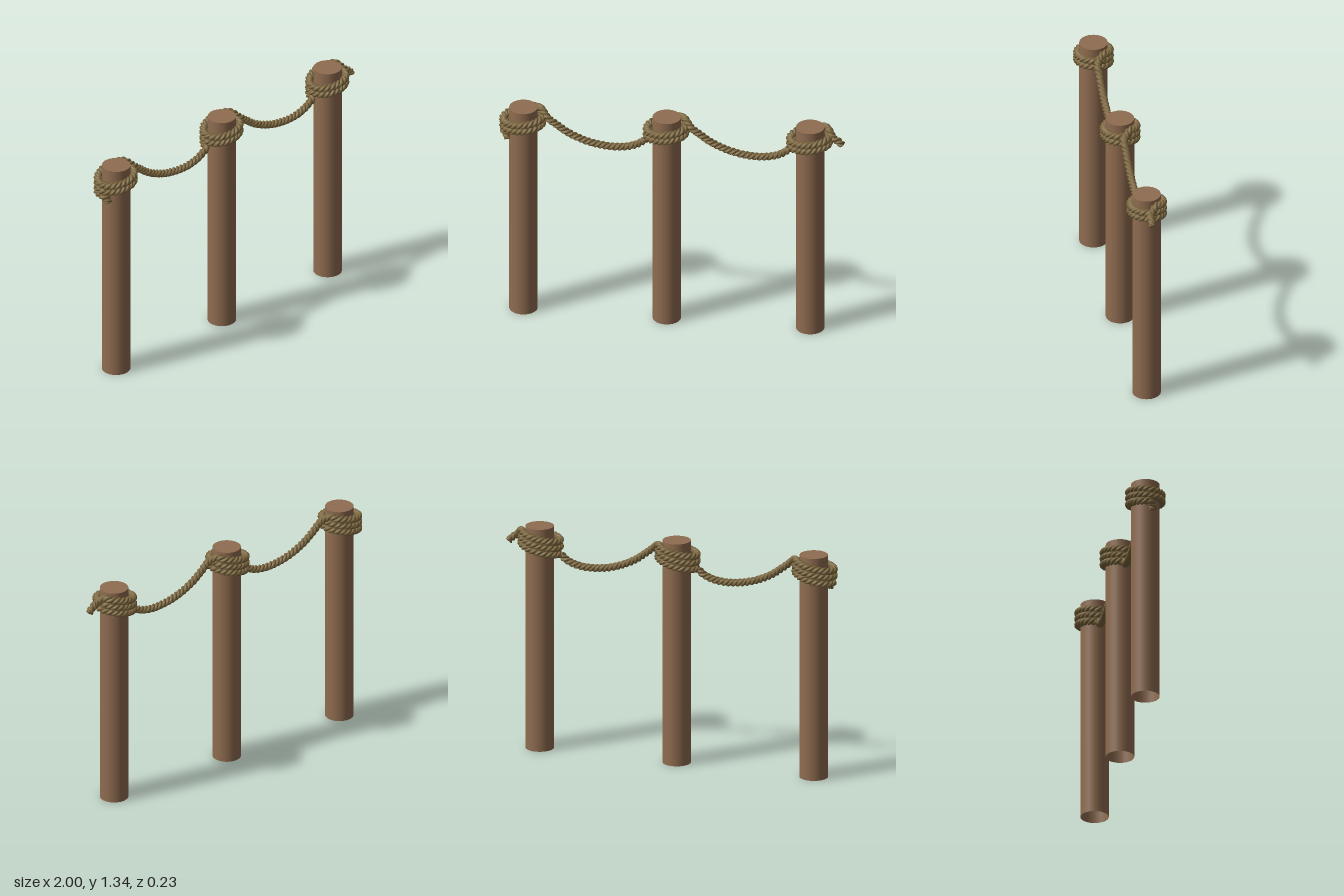
import * as THREE from 'three';

const POSTS = [-0.86, -0.03, 0.8];
const POST_RADIUS = 0.082;
const POST_HEIGHT = 1.34;

// Rope centre line: winds two and a half times round each post, sags between them
function ropePath() {
  const pts = [];
  const add = (x, y, z) => pts.push(new THREE.Vector3(x, y, z));

  // loose tail hanging beside the first post
  add(-0.945, 1.14, 0.03);
  add(-0.955, 1.165, 0.025);
  add(-0.975, 1.185, 0.005);

  POSTS.forEach((px, i) => {
    // rising, tilted coil: in from the left, round the back first, out on the right
    for (let t = 0.06; t < 2.44; t += 1 / 16) {
      const a = Math.PI + t * Math.PI * 2;
      const c = Math.cos(a);
      const rx = c < 0 ? 0.118 : 0.108;
      add(px + rx * c, 1.203 + 0.038 * t + 0.02 * c, 0.094 * Math.sin(a));
    }
    if (i < 2) {
      // sagging span to the next post
      [[0.14, 1.28], [0.19, 1.24], [0.26, 1.19], [0.36, 1.145], [0.46, 1.122],
        [0.55, 1.118], [0.62, 1.13], [0.67, 1.152], [0.705, 1.18]]
        .forEach(([dx, y]) => add(px + dx, y, 0));
    } else {
      // loose end drooping past the last post
      add(px + 0.135, 1.275, 0);
      add(px + 0.165, 1.255, 0);
      add(px + 0.188, 1.23, 0);
    }
  });
  const path = new THREE.CatmullRomCurve3(pts, false, 'centripetal');
  path.arcLengthDivisions = 3000;
  return path;
}

// Tube reshaped into three twisted strands, with closed ends
function ropeGeometry(path) {
  const rings = 1500, sides = 18, pitch = 0.085;
  const geo = new THREE.TubeGeometry(path, rings, 0.02, sides, false);
  const pos = geo.attributes.position;
  const length = path.getLength();
  const v = new THREE.Vector3();
  for (let i = 0; i <= rings; i++) {
    const centre = path.getPointAt(i / rings);
    const twist = (i / rings) * (length / pitch) * Math.PI * 2;
    const end = i === 0 || i === rings;
    for (let j = 0; j <= sides; j++) {
      const phi = (j / sides) * Math.PI * 2;
      const r = end ? 0 : 0.0145 + 0.0085 * Math.abs(Math.sin(1.5 * phi));
      const a = phi + twist;
      v.copy(centre)
        .addScaledVector(geo.normals[i], -Math.cos(a) * r)
        .addScaledVector(geo.binormals[i], Math.sin(a) * r);
      pos.setXYZ(i * (sides + 1) + j, v.x, v.y, v.z);
    }
  }
  geo.computeVertexNormals();
  return geo;
}

export function createModel() {
  const group = new THREE.Group();
  group.name = 'ropeFence';
  const wood = new THREE.MeshStandardMaterial({ color: 0x8f6c50, side: THREE.DoubleSide });
  const hemp = new THREE.MeshStandardMaterial({ color: 0x7d6840 });

  // posts: open underneath, capped on top
  const sideGeo = new THREE.CylinderGeometry(POST_RADIUS, POST_RADIUS, POST_HEIGHT, 32, 1, true);
  const topGeo = new THREE.CircleGeometry(POST_RADIUS, 32).rotateX(-Math.PI / 2);
  for (const x of POSTS) {
    const post = new THREE.Group();
    post.name = 'post';
    const shaft = new THREE.Mesh(sideGeo, wood);
    shaft.name = 'postShaft';
    shaft.position.y = POST_HEIGHT / 2;
    const top = new THREE.Mesh(topGeo, wood);
    top.name = 'postTop';
    top.position.y = POST_HEIGHT;
    post.add(shaft, top);
    post.position.x = x;
    group.add(post);
  }

  // one continuous rope
  const rope = new THREE.Mesh(ropeGeometry(ropePath()), hemp);
  rope.name = 'rope';
  group.add(rope);
  return group;
}
